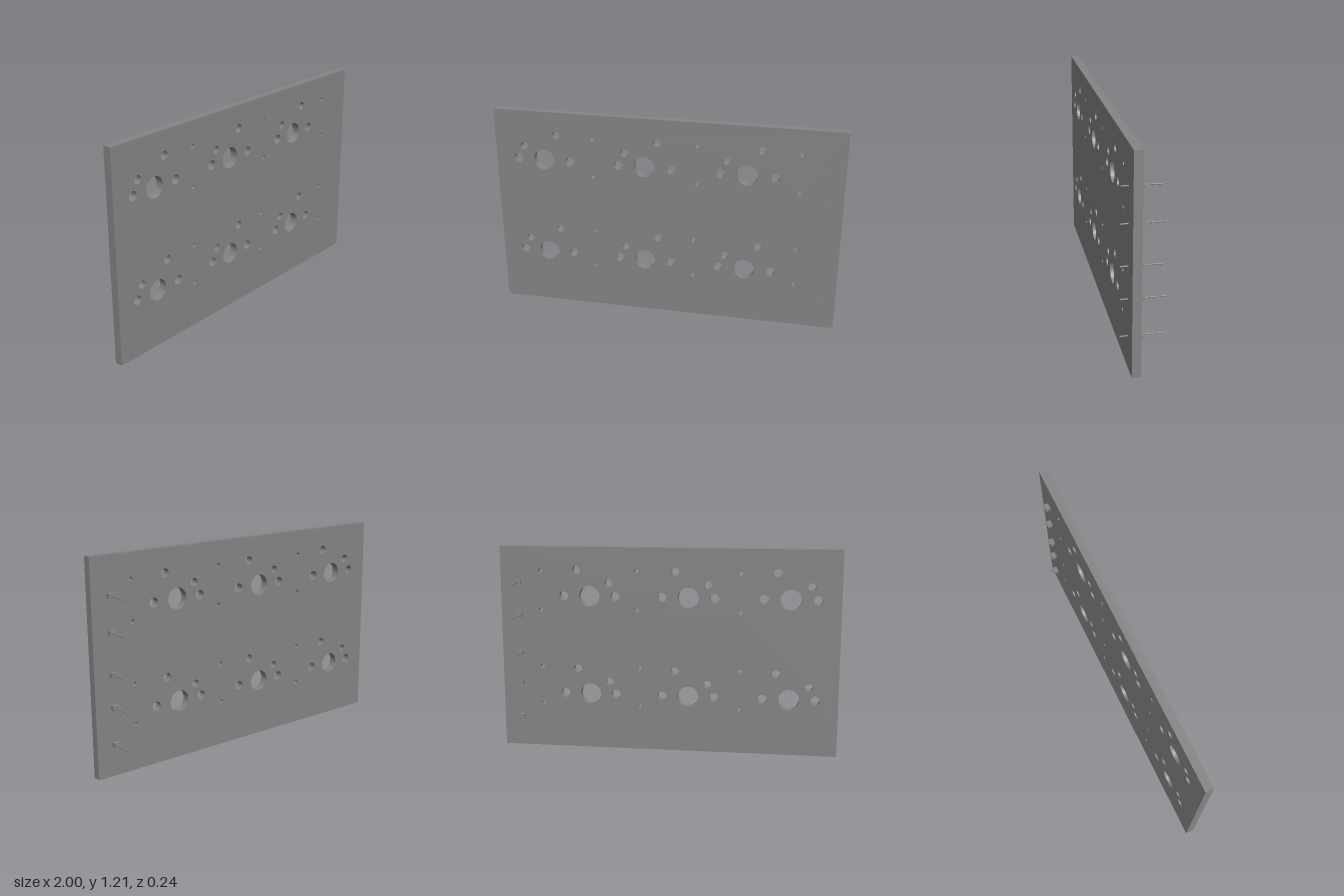
import * as THREE from 'three';

const WIDTH = 2, HEIGHT = 1.213;
const BACK = 0.029, FRONT = 0.076;

export function createModel() {
  const group = new THREE.Group();
  const material = new THREE.MeshStandardMaterial({ color: 0x858585 });

  function add(geometry, name, parent = group) {
    const mesh = new THREE.Mesh(geometry, material);
    mesh.name = name;
    parent.add(mesh);
    return mesh;
  }

  // Drilled panel
  const panel = new THREE.Shape();
  panel.moveTo(-WIDTH / 2, 0);
  panel.lineTo(WIDTH / 2, 0);
  panel.lineTo(WIDTH / 2, HEIGHT);
  panel.lineTo(-WIDTH / 2, HEIGHT);
  panel.closePath();

  function drill(x, y, r) {
    const hole = new THREE.Path();
    hole.absarc(x, y, r, 0, Math.PI * 2, true);
    panel.holes.push(hole);
  }

  // Hole cluster repeated on a 3 x 2 layout: [dx, dy, radius]
  const cluster = [
    [0, 0, 0.061],
    [-0.153, 0, 0.027],
    [0.154, 0, 0.027],
    [-0.115, 0.077, 0.023],
    [0.077, 0.153, 0.024],
  ];
  for (const cy of [0.334, 0.923]) {
    for (const cx of [-0.714, -0.122, 0.464]) {
      for (const [dx, dy, r] of cluster) drill(cx + dx, cy + dy, r);
    }
  }

  // Pairs of small fixing holes: [x, centre y]
  const pairs = [
    [-0.425, 0.954], [0.181, 0.96], [0.758, 0.954],
    [-0.425, 0.379], [0.166, 0.379], [0.758, 0.379],
  ];
  for (const [x, y] of pairs) {
    drill(x, y + 0.115, 0.0125);
    drill(x, y - 0.115, 0.0125);
  }

  const panelGeometry = new THREE.ExtrudeGeometry(panel, {
    depth: FRONT - BACK, bevelEnabled: false, curveSegments: 24,
  });
  panelGeometry.translate(0, 0, BACK);
  add(panelGeometry, 'panel');

  // Header pins: a pin through a block that stands off the panel on a narrow rib
  const pinGeometry = new THREE.CylinderGeometry(0.004, 0.004, 0.236, 12).rotateX(Math.PI / 2);
  const blockGeometry = new THREE.BoxGeometry(0.036, 0.026, 0.027).translate(0, 0, 0.0125);
  const ribGeometry = new THREE.BoxGeometry(0.036, 0.012, 0.004).translate(0, 0, 0.0275);

  for (const y of [0.183, 0.394, 0.576, 0.804, 1.001]) {
    const header = new THREE.Group();
    header.name = 'headerPin';
    header.position.set(0.892, y, 0);
    add(pinGeometry, 'pin', header);
    add(blockGeometry, 'pinBlock', header);
    add(ribGeometry, 'standoffRib', header);
    group.add(header);
  }

  return group;
}
